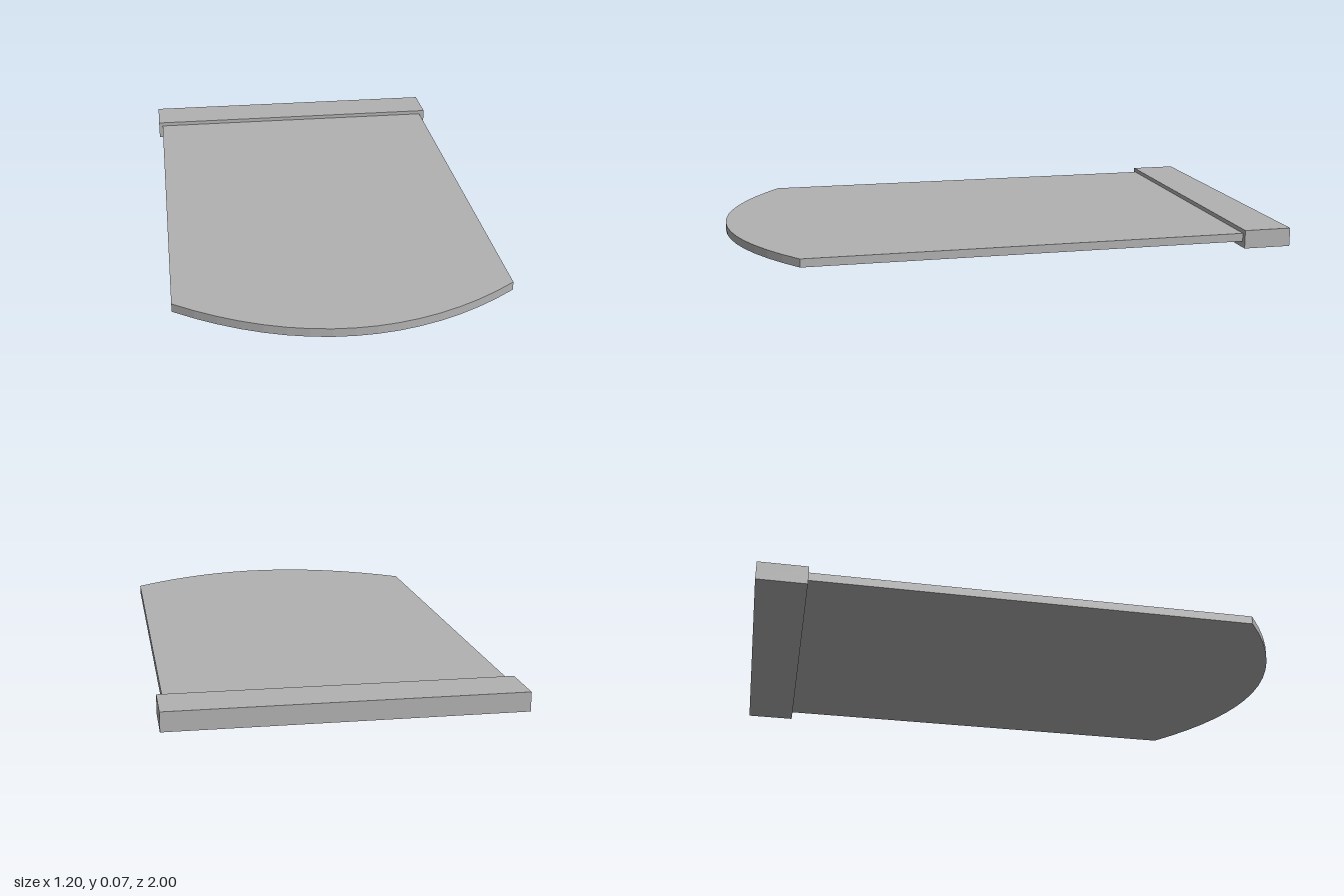
import * as THREE from 'three';

export function createModel() {
  const model = new THREE.Group();
  const grey = new THREE.MeshStandardMaterial({ color: 0xb2b2b2 });
  grey.name = 'grey';

  // Thick bar across the back end
  const bar = new THREE.Mesh(new THREE.BoxGeometry(1.2, 0.067, 0.175), grey);
  bar.name = 'endBar';
  bar.position.set(0, 0.0335, -0.9125);
  model.add(bar);

  // Thin flat panel with a curved front edge, drawn in plan (shape y becomes z)
  const left = 0.58, right = -0.585, back = -0.83, corner = 0.77, tip = 1;
  const outline = new THREE.Shape();
  outline.moveTo(right, back);
  outline.lineTo(left, back);
  outline.lineTo(left, corner);
  outline.quadraticCurveTo((left + right) / 2, 2 * tip - corner, right, corner);
  outline.closePath();
  const geometry = new THREE.ExtrudeGeometry(outline, { depth: 0.03, bevelEnabled: false, curveSegments: 16 });
  geometry.rotateX(Math.PI / 2);
  const panel = new THREE.Mesh(geometry, grey);
  panel.name = 'panel';
  panel.position.y = 0.052;
  model.add(panel);

  return model;
}
